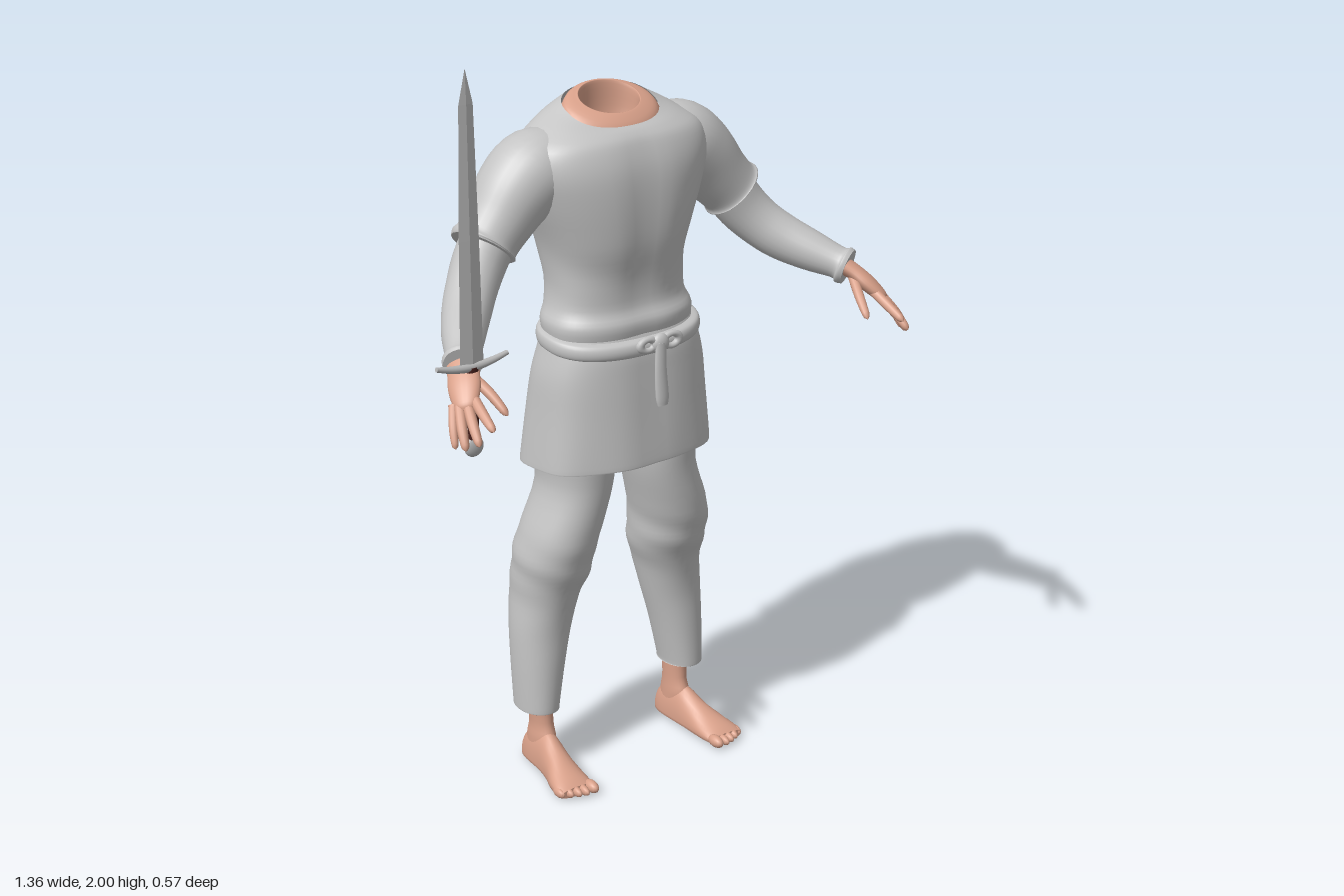
import * as THREE from 'three';

const mat = (name, color, side = THREE.FrontSide) => {
  const m = new THREE.MeshStandardMaterial({ color, side });
  m.name = name;
  return m;
};

// Catmull-Rom interpolation of rows of numbers
function smooth(rows, n) {
  const out = [];
  for (let i = 0; i < rows.length - 1; i++) {
    const a = rows[Math.max(i - 1, 0)], b = rows[i], c = rows[i + 1], d = rows[Math.min(i + 2, rows.length - 1)];
    for (let k = 0; k < n; k++) {
      const t = k / n;
      out.push(b.map((_, q) => 0.5 * (2 * b[q] + (c[q] - a[q]) * t
        + (2 * a[q] - 5 * b[q] + 4 * c[q] - d[q]) * t * t + (3 * b[q] - a[q] - 3 * c[q] + d[q]) * t * t * t)));
    }
  }
  out.push(rows[rows.length - 1]);
  return out;
}

// Skin between closed rings of equal size, with optional flat end caps
function loft(rings, capStart, capEnd) {
  const n = rings[0].length, pos = [], idx = [];
  rings.forEach(r => r.forEach(p => pos.push(p.x, p.y, p.z)));
  for (let i = 0; i < rings.length - 1; i++) {
    for (let j = 0; j < n; j++) {
      const k = (j + 1) % n, a = i * n + j, b = i * n + k, c = b + n, d = a + n;
      idx.push(a, b, c, a, c, d);
    }
  }
  const cap = (ring, flip) => {
    const base = pos.length / 3, mid = new THREE.Vector3();
    ring.forEach(p => { pos.push(p.x, p.y, p.z); mid.addScaledVector(p, 1 / n); });
    pos.push(mid.x, mid.y, mid.z);
    for (let j = 0; j < n; j++) {
      const a = base + j, b = base + (j + 1) % n;
      if (flip) idx.push(b, a, base + n); else idx.push(a, b, base + n);
    }
  };
  if (capStart) cap(rings[0], true);
  if (capEnd) cap(rings[rings.length - 1], false);
  const g = new THREE.BufferGeometry();
  g.setAttribute('position', new THREE.Float32BufferAttribute(pos, 3));
  g.setIndex(idx);
  g.computeVertexNormals();
  return g;
}

// Upright form; rows are [y, centreX, halfWidth, zFront, zBack, tilt, groove]
function stack(rows, { seg = 40, e = 0.9, n = 4, s = 1, caps = [false, false], fold = () => 0 } = {}) {
  const pw = v => Math.sign(v) * Math.abs(v) ** e;
  const rings = smooth(rows, n).map(([y, cx, hw, zf, zb, tilt = 0, groove = 0]) => {
    const ring = [];
    for (let j = 0; j < seg; j++) {
      const a = j / seg * Math.PI * 2, c = pw(Math.cos(a)), sn = pw(Math.sin(a));
      const f = 1 + fold(a, y), x = hw * c * f;
      const dent = groove * Math.exp(-((x / 0.045) ** 2)) * (sn > 0 ? 1 : -0.4) * Math.abs(sn);
      ring.push(new THREE.Vector3(s * cx + x, y + tilt * sn, (zf + zb) / 2 - (zf - zb) / 2 * sn * f + dent));
    }
    return ring;
  });
  return loft(rings, ...caps);
}

// Round or oval limb; points are [x, y, z, radius]
function limb(points, { s = 1, seg = 20, n = 5, wide = [0, 0.3, 1], ratio = 1, round = false } = {}) {
  const rows = smooth(points.map(([x, y, z, r]) => [x * s, y, z, r]), n);
  const P = rows.map(r => new THREE.Vector3(r[0], r[1], r[2]));
  const W = new THREE.Vector3(wide[0] * s, wide[1], wide[2]);
  const rings = rows.map((row, i) => {
    const t = P[Math.min(i + 1, P.length - 1)].clone().sub(P[Math.max(i - 1, 0)]).normalize();
    const u = W.clone().addScaledVector(t, -W.dot(t)).normalize(), v = t.clone().cross(u);
    const f = i / (rows.length - 1);
    const r = row[3] * (round && f > 0.8 ? Math.sqrt(Math.max(0.02, 1 - ((f - 0.8) / 0.2) ** 2)) : 1);
    return Array.from({ length: seg }, (_, j) => {
      const a = j / seg * Math.PI * 2;
      return P[i].clone().addScaledVector(u, r * ratio * Math.cos(a)).addScaledVector(v, r * Math.sin(a));
    });
  });
  return loft(rings, true, true);
}

export function createModel() {
  const model = new THREE.Group();
  const linen = mat('linen', 0xc4c4c4, THREE.DoubleSide), skin = mat('skin', 0xd9a18a, THREE.DoubleSide);
  const steel = mat('steel', 0xb8b8b8), leather = mat('dark leather', 0x46201c);
  const add = (name, geo, m, parent = model) => {
    const mesh = new THREE.Mesh(geo, m);
    mesh.name = name;
    parent.add(mesh);
    return mesh;
  };

  // Tunic, bloused over the belt, with a groove down the spine
  add('tunicBody', stack([
    [1.18, 0, 0.195, 0.02, -0.22, 0, 0.01], [1.235, 0, 0.204, 0.03, -0.23, 0, 0.012],
    [1.28, 0, 0.188, 0.012, -0.228, 0, 0.014], [1.36, 0, 0.183, 0.018, -0.25, 0, 0.02],
    [1.45, 0, 0.203, 0.035, -0.27, 0, 0.024], [1.55, 0, 0.24, 0.038, -0.28, 0, 0.024],
    [1.63, 0, 0.262, 0.03, -0.275, 0, 0.022], [1.69, 0, 0.25, 0.008, -0.262, 0, 0.015],
    [1.733, 0, 0.19, -0.015, -0.24, 0.018, 0.005], [1.76, 0, 0.127, -0.036, -0.207, 0.034, 0]],
  { seg: 56, e: 0.85, fold: (a, y) => 0.012 * Math.sin(3 * a + y * 40) * Math.max(0, 1 - Math.abs(y - 1.34) / 0.12) }), linen);
  add('tunicSkirt', stack([
    [0.86, 0.005, 0.254, 0.063, -0.285, -0.01, 0.012], [0.875, 0.005, 0.254, 0.064, -0.284, -0.01, 0.012],
    [1.0, 0.005, 0.242, 0.056, -0.268, 0, 0.016], [1.1, 0.004, 0.232, 0.048, -0.25, 0, 0.014],
    [1.17, 0.003, 0.214, 0.04, -0.235, 0, 0.01], [1.22, 0, 0.198, 0.02, -0.222, 0, 0.008]],
  { seg: 56, e: 0.85, fold: (a, y) => 0.014 * Math.sin(7 * a + 1) * Math.max(0, (1.15 - y) / 0.3) }), linen);

  // Neck rim, turning over into a hollow
  add('neck', stack([
    [1.735, 0, 0.14, -0.03, -0.212, 0.03], [1.763, 0, 0.122, -0.04, -0.204, 0.035],
    [1.776, 0, 0.088, -0.062, -0.192, 0.026], [1.77, 0, 0.08, -0.066, -0.187, 0.025],
    [1.71, 0, 0.076, -0.065, -0.185, 0.01], [1.66, 0, 0.055, -0.085, -0.17, 0]],
  { e: 1, caps: [false, true] }), skin);

  // Belt with a knot and a hanging end
  const belt = new THREE.Group();
  belt.name = 'belt';
  model.add(belt);
  add('beltBand', stack([
    [1.168, 0.003, 0.204, 0.03, -0.228, 0.012], [1.173, 0.003, 0.215, 0.047, -0.238, 0.012],
    [1.19, 0.003, 0.219, 0.052, -0.242, 0.012], [1.207, 0.003, 0.215, 0.046, -0.238, 0.012],
    [1.213, 0.003, 0.2, 0.028, -0.226, 0.012]], { seg: 56, e: 0.85 }), linen, belt);
  const knot = add('beltKnot', new THREE.SphereGeometry(0.026, 20, 14), linen, belt);
  knot.position.set(0.025, 1.185, 0.052);
  knot.scale.set(1, 1, 0.6);
  for (const [x, r] of [[-0.012, 0.018], [0.06, 0.02]]) {
    const loop = add('beltLoop', new THREE.TorusGeometry(r, 0.01, 10, 20), linen, belt);
    loop.position.set(x, 1.187, 0.05);
    loop.scale.set(1.2, 0.8, 0.9);
  }
  add('beltEnd', limb([[0.022, 1.19, 0.06, 0.008], [0.02, 1.12, 0.062, 0.009], [0.024, 1.05, 0.063, 0.01],
    [0.025, 1.025, 0.064, 0.008]], { wide: [1, 0, 0], ratio: 1.9 }), linen, belt);

  for (const [side, s] of [['left', 1], ['right', -1]]) {
    const part = (name, geo, m) => add(side + name, geo, m);

    // Arm: short sleeve over a long fitted sleeve with a cuff
    part('ShortSleeve', limb([[0.13, 1.625, -0.13, 0.09], [0.21, 1.625, -0.138, 0.105], [0.27, 1.585, -0.136, 0.1],
      [0.325, 1.525, -0.128, 0.086], [0.36, 1.487, -0.122, 0.08], [0.372, 1.474, -0.12, 0.085],
      [0.378, 1.467, -0.118, 0.081]], { s, seg: 28 }), linen);
    part('LongSleeve', limb([[0.34, 1.51, -0.125, 0.068], [0.39, 1.437, -0.113, 0.067], [0.432, 1.386, -0.085, 0.063],
      [0.475, 1.347, -0.042, 0.06], [0.525, 1.315, 0.022, 0.052], [0.564, 1.293, 0.08, 0.042],
      [0.572, 1.288, 0.092, 0.049], [0.579, 1.284, 0.103, 0.046]], { s, seg: 24 }), linen);

    // Hand: palm and five digits
    part('Palm', limb([[0.57, 1.288, 0.09, 0.024], [0.588, 1.272, 0.12, 0.021], [0.606, 1.247, 0.152, 0.021],
      [0.624, 1.22, 0.184, 0.015], [0.63, 1.211, 0.194, 0.006]], { s, wide: [0.6, -0.25, -0.55], ratio: 1.9 }), skin);
    const digits = [
      [[0.602, 1.235, 0.18], [0.608, 1.208, 0.235], [0.612, 1.185, 0.285]],
      [[0.617, 1.226, 0.178], [0.633, 1.185, 0.23], [0.642, 1.15, 0.27]],
      [[0.632, 1.218, 0.17], [0.652, 1.175, 0.212], [0.662, 1.135, 0.243]],
      [[0.642, 1.215, 0.158], [0.662, 1.172, 0.19], [0.672, 1.132, 0.213]],
      [[0.576, 1.268, 0.125], [0.554, 1.23, 0.182], [0.54, 1.19, 0.232]]];
    digits.forEach((d, i) => part(i < 4 ? 'Finger' : 'Thumb',
      limb(d.map((p, k) => [...p, [0.013, 0.0125, 0.009][k] * (i === 3 ? 0.85 : 1)]), { s, seg: 12, n: 6, round: true }), skin));

    // Trouser leg, baggy at the knee
    part('TrouserLeg', stack([
      [0.175, 0.23, 0.053, -0.07, -0.21], [0.19, 0.23, 0.054, -0.069, -0.211], [0.3, 0.22, 0.067, -0.07, -0.222],
      [0.4, 0.207, 0.079, -0.07, -0.235], [0.49, 0.192, 0.086, -0.056, -0.25], [0.56, 0.181, 0.098, -0.03, -0.246],
      [0.62, 0.179, 0.099, -0.012, -0.238], [0.69, 0.163, 0.097, 0, -0.226], [0.8, 0.13, 0.092, 0.005, -0.215],
      [0.9, 0.125, 0.1, 0.01, -0.23], [1.05, 0.11, 0.1, 0, -0.22]],
    { s, e: 0.95, fold: (a, y) => 0.02 * Math.sin(y * 75 + 2 * a) * Math.max(0, 1 - Math.abs(y - 0.58) / 0.14) }), linen);

    // Bare foot: ankle, sole and toes
    part('Ankle', stack([[0.03, 0.217, 0.03, -0.1, -0.195], [0.08, 0.217, 0.03, -0.085, -0.19],
      [0.13, 0.216, 0.027, -0.1, -0.181], [0.23, 0.22, 0.034, -0.1, -0.19]], { s, e: 1, seg: 24 }), skin);
    const sole = smooth([[-0.205, 0.217, 0.012, 0.045], [-0.195, 0.217, 0.026, 0.068], [-0.16, 0.217, 0.035, 0.1],
      [-0.1, 0.22, 0.037, 0.105], [-0.05, 0.226, 0.041, 0.08], [0, 0.235, 0.05, 0.055], [0.04, 0.24, 0.053, 0.038],
      [0.062, 0.241, 0.048, 0.026]], 4).map(([z, cx, hw, top]) => Array.from({ length: 24 }, (_, j) => {
      const a = j / 24 * Math.PI * 2, sn = Math.sin(a);
      return new THREE.Vector3(s * cx + hw * Math.cos(a), sn > 0 ? 0.016 + (top - 0.016) * sn : 0.016 * (1 - Math.sqrt(-sn)), z);
    }));
    part('Foot', loft(sole, true, true), skin);
    for (let i = 0; i < 5; i++) {
      const toe = part('Toe', new THREE.SphereGeometry(1, 14, 10), skin);
      toe.scale.set(i ? 0.0105 : 0.015, i ? 0.013 : 0.016, 0.028 - i * 0.001);
      toe.position.set(s * (i ? 0.206 + i * 0.0195 : 0.201), i ? 0.0135 : 0.0165, 0.067 - i * i * 0.0016);
    }
  }

  // Sword standing upright in the right hand
  const sword = new THREE.Group();
  sword.name = 'sword';
  sword.position.set(-0.58, 0, 0.145);
  model.add(sword);
  const blade = new THREE.LatheGeometry([[0.032, 1.29], [0.027, 1.6], [0.019, 1.92], [0.0005, 2]]
    .map(p => new THREE.Vector2(...p)), 4).scale(1, 1, 0.17).toNonIndexed();
  blade.computeVertexNormals();
  add('blade', blade, steel, sword);
  add('crossguard', limb([[-0.096, 1.307, 0, 0.006], [-0.05, 1.296, 0, 0.009], [0, 1.292, 0, 0.011],
    [0.05, 1.296, 0, 0.009], [0.098, 1.307, 0, 0.006]], { seg: 12 }), steel, sword);
  add('grip', new THREE.CylinderGeometry(0.017, 0.014, 0.18, 16).scale(1, 1, 0.7).translate(0, 1.203, 0), leather, sword);
  add('pommel', new THREE.SphereGeometry(0.026, 20, 14).scale(1, 1, 0.45).translate(0, 1.093, 0), steel, sword);
  return model;
}
